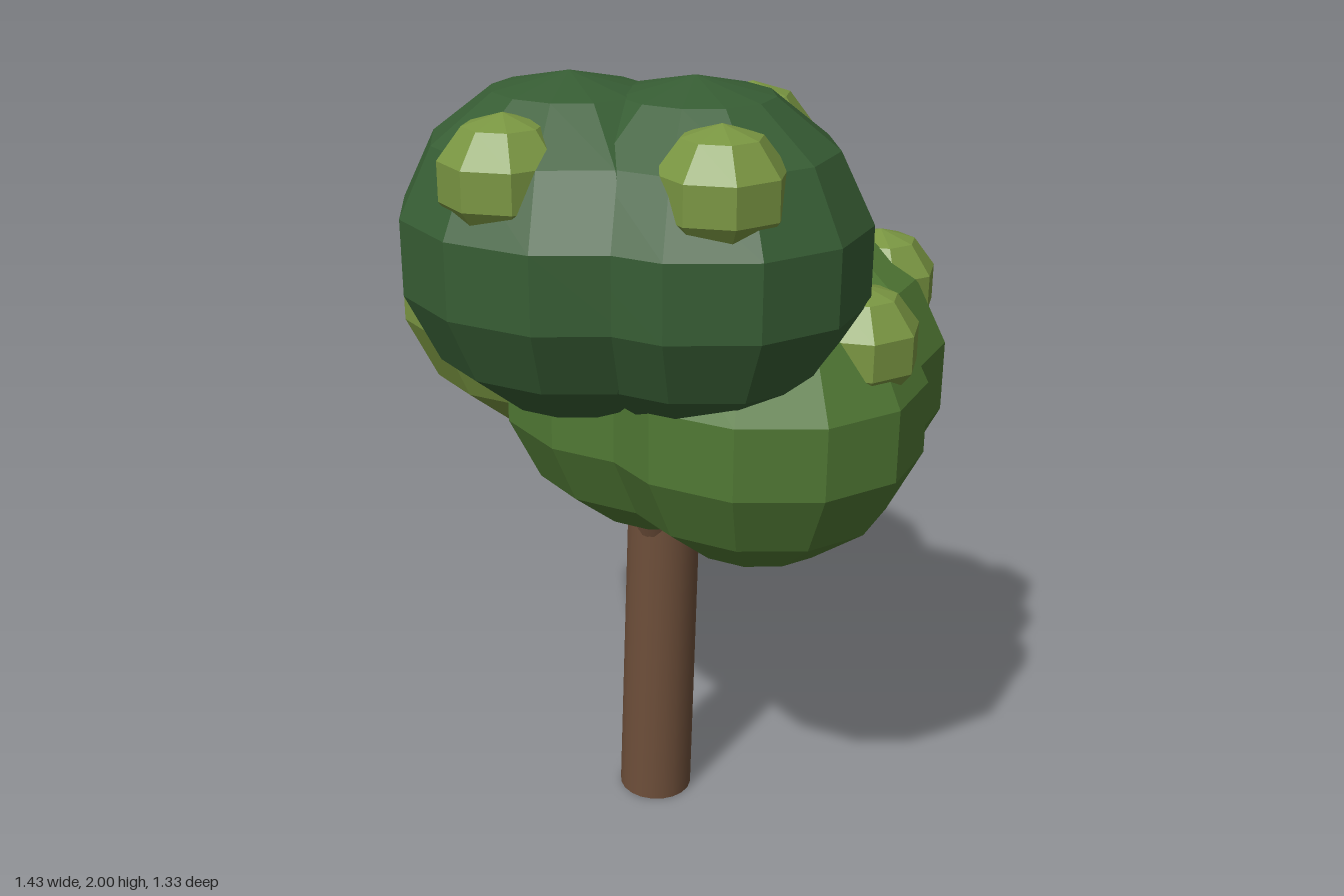
import * as THREE from 'three';

const mat = (name, color) => {
  const m = new THREE.MeshStandardMaterial({ color });
  m.name = name;
  return m;
};

// Faceted ellipsoid: split vertices so every face gets its own flat normal
function facetedSphere(wSeg, hSeg, rx, ry, rz) {
  const g = new THREE.SphereGeometry(1, wSeg, hSeg).scale(rx, ry, rz).toNonIndexed();
  g.computeVertexNormals();
  return g;
}

// Smooth round limb from a to b
function limb(name, a, b, r0, r1, material) {
  const dir = b.clone().sub(a);
  const mesh = new THREE.Mesh(new THREE.CylinderGeometry(r1, r0, dir.length(), 20), material);
  mesh.name = name;
  mesh.position.copy(a).addScaledVector(dir, 0.5);
  mesh.quaternion.setFromUnitVectors(new THREE.Vector3(0, 1, 0), dir.normalize());
  return mesh;
}

export function createModel() {
  const tree = new THREE.Group();
  tree.name = 'tree';

  const bark = mat('bark brown', 0x6e4f3a);
  const dark = mat('dark green', 0x375d34);
  const mid = mat('mid green', 0x507834);
  const light = mat('light olive green', 0x7a9642);

  // Leaf clusters: centre, height, ball positions [x, z] and direction of the first tuft
  const clusters = [
    { name: 'upperFoliage', m: dark, x: 0.145, y: 1.61, z: 0.21,
      balls: [[0.025, 0.283], [0.262, 0.14]], tuft: [-0.095, 0.36] },
    { name: 'middleFoliage', m: light, x: -0.275, y: 1.41, z: -0.12,
      balls: [[-0.312, 0.012], [-0.24, -0.252]], tuft: [-0.165, -0.32] },
    { name: 'lowerFoliage', m: mid, x: 0.25, y: 1.213, z: -0.16,
      balls: [[0.312, -0.035], [0.19, -0.29], [0.01, -0.03]], tuft: [0.105, -0.35] },
  ];

  // Leaning trunk
  tree.add(limb('trunk', new THREE.Vector3(-0.005, 0.008, -0.03),
    new THREE.Vector3(0.037, 1.25, -0.03), 0.096, 0.09, bark));

  const ballGeo = facetedSphere(12, 7, 0.414, 0.39, 0.388);
  const tuftGeo = facetedSphere(8, 5, 0.148, 0.14, 0.148);

  for (const c of clusters) {
    const group = new THREE.Group();
    group.name = c.name;

    // Main leaf balls
    for (const [x, z] of c.balls) {
      const ball = new THREE.Mesh(ballGeo, c.m);
      ball.name = 'leafBall';
      ball.position.set(x, c.y, z);
      group.add(ball);
    }

    // Four small tufts spaced around the top of the cluster
    const start = Math.atan2(c.tuft[1], c.tuft[0]);
    for (let i = 0; i < 4; i++) {
      const a = start + i * Math.PI / 2;
      const tuft = new THREE.Mesh(tuftGeo, light);
      tuft.name = 'leafTuft';
      tuft.position.set(c.x + 0.33 * Math.cos(a), c.y + 0.2, c.z + 0.315 * Math.sin(a));
      tuft.rotation.y = -a + Math.PI / 8;
      group.add(tuft);
    }
    tree.add(group);

    // Branch reaching into the cluster
    tree.add(limb('branch', new THREE.Vector3(0.01, 0.7, -0.03),
      new THREE.Vector3(c.x, 1.4, c.z), 0.055, 0.04, bark));
  }
  return tree;
}
